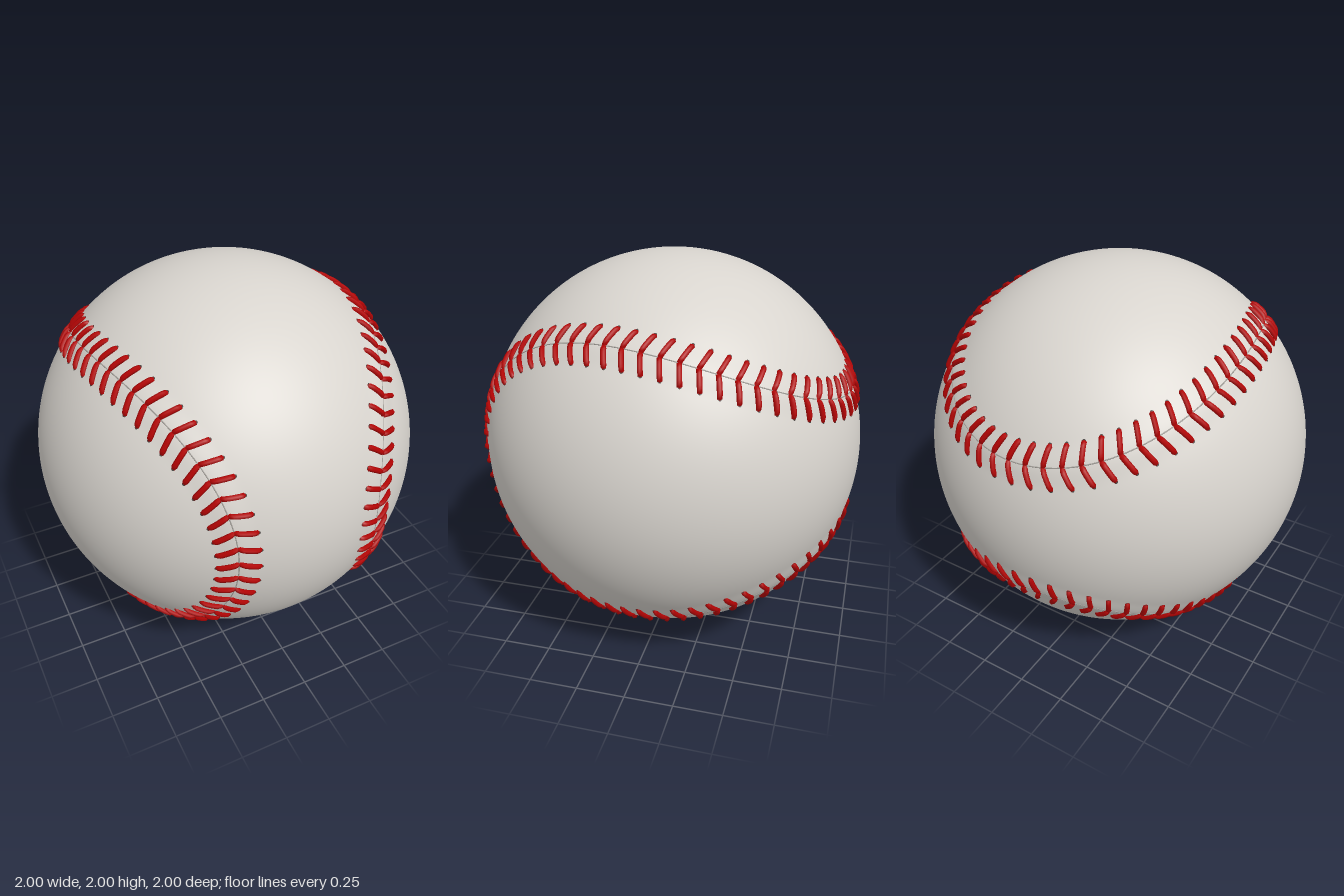
import * as THREE from 'three';
import { mergeGeometries, mergeVertices } from 'three/addons/utils/BufferGeometryUtils.js';

const PAIRS = 124;      // stitch pairs along the seam
const RIDGE = 0.008;    // how far the leather swells beside the seam
const RIDGE_WIDTH = 0.11;

// Closed seam curve lying on the unit sphere
function makeSeam() {
  const a = 0.685, b = 0.315, c = 2 * Math.sqrt(a * b), points = [];
  for (let i = 0; i < 240; i++) {
    const t = (i / 240) * Math.PI * 2;
    points.push(new THREE.Vector3(
      a * Math.cos(t) - b * Math.cos(3 * t),
      a * Math.sin(t) + b * Math.sin(3 * t),
      c * Math.cos(2 * t)).normalize());
  }
  const curve = new THREE.CatmullRomCurve3(points, true);
  curve.arcLengthDivisions = 1500;
  return curve;
}

// Surface radius at a distance from the seam
function surfaceRadius(d) {
  const u = THREE.MathUtils.clamp(1 - d / RIDGE_WIDTH, 0, 1);
  return 1 + RIDGE * u * u * (3 - 2 * u);
}

// Sphere, gently raised along the seam
function makeLeather(seam) {
  let geo = new THREE.IcosahedronGeometry(1, 50);
  geo.deleteAttribute('uv');
  geo.deleteAttribute('normal');
  geo = mergeVertices(geo, 1e-4);
  const samples = seam.getSpacedPoints(360);
  const pos = geo.attributes.position, v = new THREE.Vector3();
  for (let i = 0; i < pos.count; i++) {
    v.fromBufferAttribute(pos, i).normalize();
    let best = Infinity;
    for (const s of samples) best = Math.min(best, v.distanceToSquared(s));
    v.multiplyScalar(surfaceRadius(Math.sqrt(best)));
    pos.setXYZ(i, v.x, v.y, v.z);
  }
  geo.computeVertexNormals();
  return geo;
}

export function createModel() {
  const leather = new THREE.MeshStandardMaterial({ name: 'leather', color: 0xd8d4ce });
  const thread = new THREE.MeshStandardMaterial({ name: 'red thread', color: 0xb40404 });
  const crease = new THREE.MeshStandardMaterial({ name: 'seam shadow', color: 0xa5a19b });
  const hole = new THREE.MeshStandardMaterial({ name: 'needle hole', color: 0x4a4542 });

  const seam = makeSeam();
  const stitches = [], holes = [];
  for (let i = 0; i < PAIRS; i++) {
    const u = i / PAIRS;
    const n = seam.getPointAt(u).normalize();
    const along = seam.getTangentAt(u).normalize();
    const across = new THREE.Vector3().crossVectors(n, along).normalize();
    for (const side of [-1, 1]) {
      // Point on the ball beside the seam, lifted above the leather; stitches lean forward as they go out
      const at = (out, lift) => n.clone()
        .addScaledVector(across, side * out)
        .addScaledVector(along, out * 0.32 - 0.014)
        .normalize().multiplyScalar(surfaceRadius(out) + lift);
      const path = new THREE.CatmullRomCurve3([
        at(0.004, -0.008), at(0.016, 0.003), at(0.055, 0.007), at(0.092, 0.003), at(0.102, -0.01)]);
      stitches.push(new THREE.TubeGeometry(path, 9, 0.0138, 6, false));

      // Needle hole just past the outer end of the stitch
      const tip = at(0.105, 0.003);
      const disc = new THREE.CircleGeometry(0.009, 8);
      disc.applyQuaternion(new THREE.Quaternion().setFromUnitVectors(
        new THREE.Vector3(0, 0, 1), tip.clone().normalize()));
      holes.push(disc.translate(tip.x, tip.y, tip.z));
    }
  }

  // Thin crease where the two leather panels meet
  const creasePath = new THREE.CatmullRomCurve3(
    seam.getSpacedPoints(240).slice(0, 240).map(p => p.normalize().multiplyScalar(1 + RIDGE - 0.001)), true);

  const group = new THREE.Group();
  group.name = 'ball';
  const add = (name, geometry, material) => {
    const mesh = new THREE.Mesh(geometry, material);
    mesh.name = name;
    mesh.position.y = 1;
    group.add(mesh);
  };
  add('leatherCover', makeLeather(seam), leather);
  add('seamCrease', new THREE.TubeGeometry(creasePath, 360, 0.003, 5, true), crease);
  add('stitches', mergeGeometries(stitches), thread);
  add('needleHoles', mergeGeometries(holes), hole);
  return group;
}
